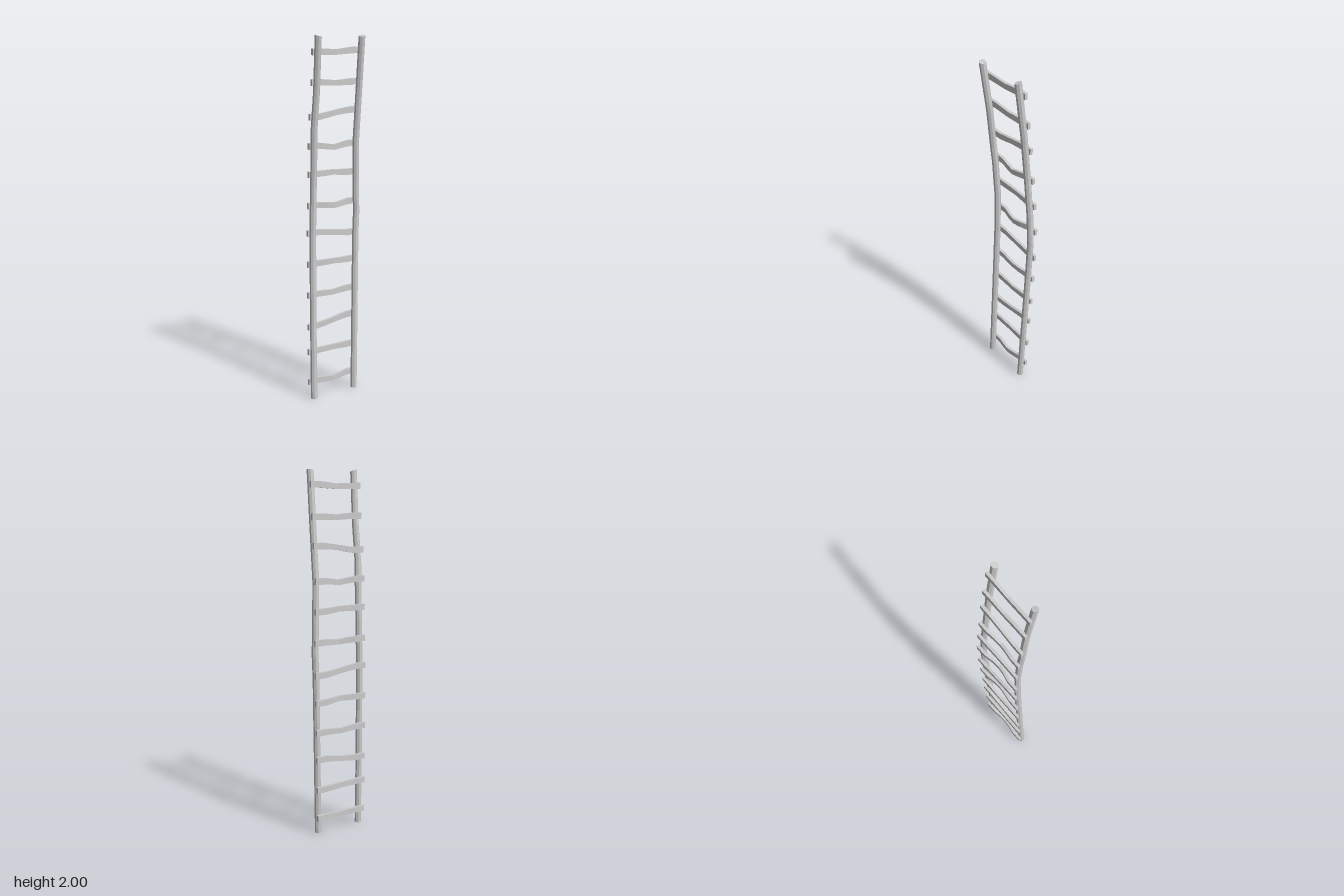
import * as THREE from 'three';

const material = new THREE.MeshStandardMaterial({ color: 0xcccccc, flatShading: true });

// Skins a list of equal-sized rings (counter-clockwise about the path) and caps both ends.
function loft(rings) {
  const n = rings[0].length;
  const index = [];
  for (let i = 0; i < rings.length - 1; i++) {
    for (let j = 0; j < n; j++) {
      const a = i * n + j, b = i * n + (j + 1) % n;
      index.push(a, b, b + n, a, b + n, a + n);
    }
  }
  const last = (rings.length - 1) * n;
  for (let j = 1; j < n - 1; j++) {
    index.push(0, j + 1, j, last, last + j, last + j + 1);
  }
  const geometry = new THREE.BufferGeometry();
  geometry.setAttribute('position', new THREE.Float32BufferAttribute(rings.flat(2), 3));
  geometry.setIndex(index);
  const flat = geometry.toNonIndexed();
  flat.computeVertexNormals();
  return flat;
}

// Linear lookup of [x, z] on a rail path of [y, x, z] points.
function railAt(path, y) {
  let i = 0;
  while (i < path.length - 2 && y > path[i + 1][0]) i++;
  const [y0, x0, z0] = path[i], [y1, x1, z1] = path[i + 1];
  const t = (y - y0) / (y1 - y0);
  return [x0 + (x1 - x0) * t, z0 + (z1 - z0) * t];
}

// Rail centre lines: y, x, z
const frontPath = [
  [0, 0, 0.155], [0.5, -0.018, 0.146], [0.95, -0.032, 0.136], [1.2, -0.031, 0.131],
  [1.4, -0.02, 0.133], [1.5, -0.012, 0.138], [1.72, 0.011, 0.135], [1.993, 0.043, 0.145],
];
const backPath = [
  [0, 0, -0.12], [0.5, -0.018, -0.137], [0.9, -0.031, -0.15], [1.03, -0.032, -0.156],
  [1.2, -0.03, -0.15], [1.42, -0.018, -0.14], [1.7, 0.009, -0.139], [1.993, 0.043, -0.133],
];

// Rungs: y at the front end, middle and back end, then the sideways bow of the middle
const rungs = [
  [0.09, 0.085, 0.092, 0.012], [0.265, 0.264, 0.26, 0], [0.41, 0.422, 0.437, 0],
  [0.592, 0.585, 0.592, 0], [0.766, 0.768, 0.76, 0.012], [0.94, 0.928, 0.914, 0],
  [1.092, 1.083, 1.092, 0.018], [1.264, 1.266, 1.258, 0], [1.418, 1.405, 1.418, 0.012],
  [1.574, 1.59, 1.602, 0], [1.755, 1.749, 1.753, 0], [1.912, 1.91, 1.919, 0],
];

function createRail(path, name) {
  const sides = 8, radius = 0.0185;
  const rings = path.map(([y, x, z], i) => Array.from({ length: sides }, (_, j) => {
    const a = ((j + 0.5) / sides) * Math.PI * 2;
    const dx = Math.sin(a) * radius, dz = Math.cos(a) * radius;
    // the top end is cut square to the leaning pole
    const tilt = i === path.length - 1 ? -0.2 * dx + 0.2 * dz * Math.sign(z) : 0;
    return [x + dx, y + tilt, z + dz];
  }));
  const mesh = new THREE.Mesh(loft(rings), material);
  mesh.name = name;
  return mesh;
}

function createRung([yFront, yMid, yBack, bow]) {
  const offset = 0.0245, overhang = 0.019, halfWidth = 0.008;
  const [xf, zf] = railAt(frontPath, yFront);
  const [xb, zb] = railAt(backPath, yBack);
  const z0 = zb - overhang, z1 = zf + overhang;
  const stations = [
    [0, yBack, 0, 0.017], [0.2, yBack, 0, 0.017], [0.36, (yBack + yMid) / 2, bow * 0.7, 0.0155],
    [0.5, yMid, bow, 0.0145], [0.64, (yFront + yMid) / 2, bow * 0.7, 0.0155],
    [0.8, yFront, 0, 0.016], [1, yFront, 0, 0.017],
  ];
  const rings = stations.map(([t, y, bend, h]) => {
    const x = xb + (xf - xb) * t - offset + bend;
    const z = z0 + (z1 - z0) * t;
    return [[1, -1], [1, 1], [-1, 1], [-1, -1]].map(([u, v]) => [x + u * halfWidth, y + v * h, z]);
  });
  return new THREE.Mesh(loft(rings), material);
}

export function createModel() {
  const ladder = new THREE.Group();
  ladder.name = 'ladder';

  // Two bent poles
  ladder.add(createRail(frontPath, 'frontRail'), createRail(backPath, 'backRail'));

  // Uneven slats fixed to the outer face of the poles
  rungs.forEach((spec, i) => {
    const rung = createRung(spec);
    rung.name = `rung${i + 1}`;
    ladder.add(rung);
  });
  return ladder;
}
